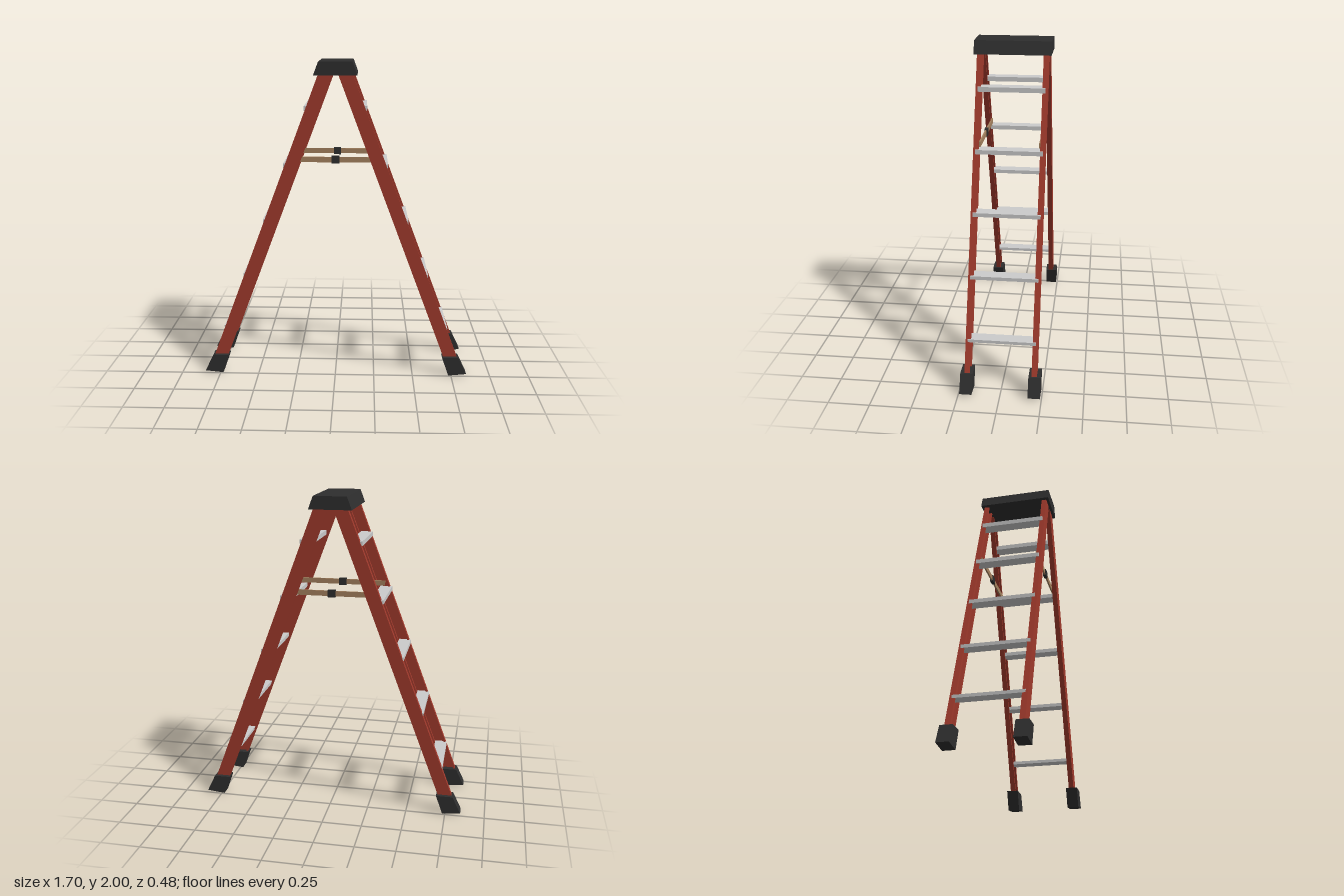
import * as THREE from 'three';

const mat = (color) => new THREE.MeshStandardMaterial({ color, flatShading: true });

export function createModel() {
  const ladder = new THREE.Group();
  ladder.name = 'stepladder';
  const red = mat(0xa03a2c), black = mat(0x2e2e2e), grey = mat(0xcccccc), tan = mat(0xa5825f);

  // Extrudes an outline in the xy plane between two z depths
  const slab = (name, parent, points, za, zb, material) => {
    const shape = new THREE.Shape(points.map(([x, y]) => new THREE.Vector2(x, y)));
    const geometry = new THREE.ExtrudeGeometry(shape, { depth: Math.abs(zb - za), bevelEnabled: false });
    geometry.translate(0, 0, Math.min(za, zb));
    const mesh = new THREE.Mesh(geometry, material);
    mesh.name = name;
    parent.add(mesh);
  };

  const box = (name, parent, size, position, material) => {
    const mesh = new THREE.Mesh(new THREE.BoxGeometry(...size), material);
    mesh.position.set(...position);
    mesh.name = name;
    parent.add(mesh);
  };

  // Centre line of a leaning side rail
  const railX = (y) => 0.743 - 0.378 * (y - 0.12);
  const railLow = 0.08, railHigh = 1.95, railHalf = 0.044, flange = 0.013;

  // Tapered top cap
  slab('topCap', ladder, [[-0.133, 1.92], [0.133, 1.92], [0.103, 2], [-0.103, 2]], -0.235, 0.235, black);

  for (const sx of [1, -1]) {
    const side = new THREE.Group();
    side.name = sx > 0 ? 'leftLadder' : 'rightLadder';
    ladder.add(side);

    const strip = (from, to) => [
      [sx * (railX(railLow) + from), railLow], [sx * (railX(railLow) + to), railLow],
      [sx * (railX(railHigh) + to), railHigh], [sx * (railX(railHigh) + from), railHigh],
    ];

    for (const sz of [1, -1]) {
      // Channel rail: outer web with two flanges facing inward
      const rail = new THREE.Group();
      rail.name = 'sideRail';
      side.add(rail);
      slab('railWeb', rail, strip(-railHalf, railHalf), sz * 0.218, sz * 0.206, red);
      slab('railInnerFlange', rail, strip(-railHalf, -railHalf + flange), sz * 0.206, sz * 0.186, red);
      slab('railOuterFlange', rail, strip(railHalf - flange, railHalf), sz * 0.206, sz * 0.186, red);

      // Slanted rubber foot
      const foot = [[0.69, 0.122], [0.795, 0.122], [0.848, 0.012], [0.733, 0]];
      slab('foot', side, foot.map(([x, y]) => [sx * x, y]), sz * 0.168, sz * 0.242, black);
    }

    // Treads, slightly thicker towards the top
    for (let i = 0; i < 5; i++) {
      const y = 0.304 + i * 0.354;
      box('tread', side, [0.078, 0.019 + i * 0.0025, 0.41], [sx * (0.682 - i * 0.132), y, 0], grey);
    }
  }

  // Folding spreader bars with a centre hinge
  for (const sz of [1, -1]) {
    box('spreaderBar', ladder, [0.56, 0.033, 0.01], [0, 1.403, sz * 0.182], tan);
    box('spreaderHinge', ladder, [0.048, 0.046, 0.02], [0, 1.403, sz * 0.182], black);
  }

  return ladder;
}
